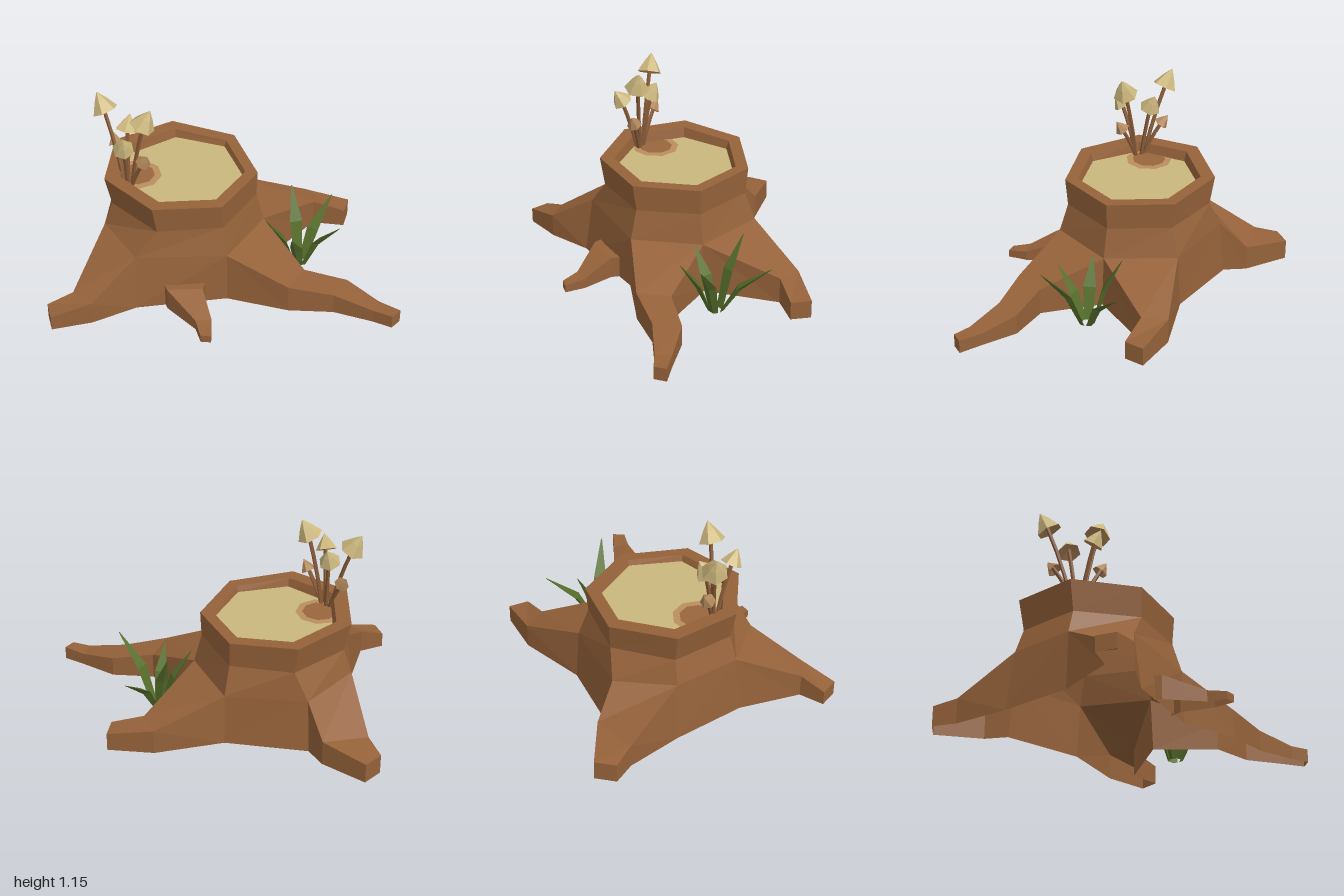
import * as THREE from 'three';

const mat = (name, color) => {
  const m = new THREE.MeshStandardMaterial({ color, flatShading: true, side: THREE.DoubleSide });
  m.name = name;
  return m;
};
const V = (x, y, z) => new THREE.Vector3(x, y, z);

// Skin a list of equal-length cross-sections; optionally close each loop and cap the end
function loft(sections, { closed = false, cap = false } = {}) {
  const pos = [];
  const tri = (...pts) => pts.forEach((p) => pos.push(p.x, p.y, p.z));
  const quad = (a, b, c, d) => { tri(a, b, c); tri(a, c, d); };
  for (let k = 0; k < sections.length - 1; k++) {
    const s = sections[k], t = sections[k + 1], n = s.length;
    for (let j = 0; j < (closed ? n : n - 1); j++) {
      const i = (j + 1) % n;
      quad(s[j], s[i], t[i], t[j]);
    }
  }
  if (cap) quad(...sections[sections.length - 1]);
  const g = new THREE.BufferGeometry();
  g.setAttribute('position', new THREE.Float32BufferAttribute(pos, 3));
  g.computeVertexNormals();
  return g;
}

export function createModel() {
  const model = new THREE.Group();
  const bark = mat('bark brown', 0x95623a);
  const wood = mat('cut wood', 0xc9b77c);
  const stainLight = mat('light stain', 0xb98f5e);
  const stainDark = mat('dark stain', 0x98663d);
  const stemMat = mat('stem brown', 0x8a5c38);
  const capMat = mat('pale cap', 0xcdb87e);
  const capTan = mat('tan cap', 0xb58a5c);
  const leaf = mat('leaf green', 0x566e2b);
  const add = (name, geo, m, parent = model) => {
    const mesh = new THREE.Mesh(geo, m);
    mesh.name = name;
    parent.add(mesh);
    return mesh;
  };

  // Seven-sided trunk with a raised, slightly tilted rim
  const ring = (cx, r, height) => Array.from({ length: 7 }, (_, i) => {
    const a = (i / 7) * Math.PI * 2, x = cx + r * Math.cos(a);
    return V(x, height(x), r * Math.sin(a));
  });
  const rimY = (x) => 0.647 - 0.046 * x;
  const floorY = 0.615;
  const flare = [
    V(0.18, 0.31, 0), V(0, 0.32, 0.38), V(-0.51, 0.34, 0.47), V(-0.73, 0.36, 0.2),
    V(-0.73, 0.36, -0.2), V(-0.47, 0.33, -0.46), V(0, 0.32, -0.39),
  ];
  const foot = [
    V(0.2, 0.01, 0), V(0, 0.01, 0.39), V(-0.51, 0.01, 0.52), V(-0.76, 0.01, 0.22),
    V(-0.77, 0.01, -0.22), V(-0.48, 0.01, -0.49), V(0, 0.01, -0.41),
  ];
  const floor = ring(-0.3, 0.355, () => floorY);
  add('trunk', loft([floor, ring(-0.3, 0.37, rimY), ring(-0.31, 0.452, rimY),
    ring(-0.295, 0.43, (x) => 0.49 - 0.02 * x), flare], { closed: true }), bark);
  add('cutWood', new THREE.CircleGeometry(0.357, 7).rotateX(-Math.PI / 2).translate(-0.3, floorY, 0), wood);

  // Stains around the mushrooms
  [[0.14, stainLight, 0.002], [0.1, stainDark, 0.004]].forEach(([r, m, dy], i) =>
    add('stain' + i, new THREE.CircleGeometry(r, 9).rotateX(-Math.PI / 2).translate(-0.55, floorY + dy, 0.05), m));

  // Plain walls between the roots
  for (const i of [1, 3, 5]) {
    const j = i + 1;
    add('lowerWall', loft([[flare[i], flare[j]], [foot[i], foot[j]]]), bark);
  }

  // Roots: each section is [x, topY, z] for its two edges
  const section = ([x1, y1, z1, x2, y2, z2], y0 = 0.01) =>
    [V(x1, y0, z1), V(x1, y1, z1), V(x2, y2, z2), V(x2, y0, z2)];
  const root = (name, start, list) =>
    add(name, loft([start, ...list.map((s) => section(s))], { cap: true }), bark);
  const between = (a, b) => [foot[a], flare[a], flare[b], foot[b]];
  root('frontLeftRoot', between(0, 1), [
    [0.44, 0.17, 0.28, 0.36, 0.18, 0.46], [0.69, 0.13, 0.3, 0.62, 0.135, 0.45],
    [0.88, 0.085, 0.42, 0.85, 0.09, 0.51], [1, 0.09, 0.49, 0.955, 0.09, 0.55]]);
  root('frontRightRoot', between(2, 3), [
    [-0.74, 0.15, 0.67, -0.86, 0.15, 0.58], [-0.96, 0.1, 0.75, -1, 0.1, 0.64]]);
  root('backRightRoot', between(4, 5), [
    [-0.81, 0.16, -0.56, -0.55, 0.16, -0.61], [-0.87, 0.13, -0.69, -0.78, 0.13, -0.78]]);
  root('backLeftRoot', between(6, 0), [
    [0.4, 0.16, -0.51, 0.46, 0.17, -0.37], [0.67, 0.12, -0.48, 0.65, 0.12, -0.36]]);
  root('smallFrontRoot', section([-0.12, 0.14, 0.4, -0.35, 0.15, 0.47]), [
    [-0.13, 0.14, 0.47, -0.33, 0.15, 0.51],
    [-0.06, 0.07, 0.65, -0.15, 0.075, 0.67], [-0.05, 0.055, 0.77, -0.11, 0.055, 0.77]]);

  // Mushrooms: cap rim centre, apex, radius and colour
  const mushrooms = [
    [[-0.72, 1.035, 0.03], [-0.77, 1.14, 0.0], 0.075, capMat],
    [[-0.49, 1.045, 0.18], [-0.44, 1.15, 0.18], 0.075, capMat],
    [[-0.59, 0.925, 0.24], [-0.58, 1.005, 0.29], 0.062, capMat],
    [[-0.6, 0.935, 0.07], [-0.58, 1.025, 0.03], 0.065, capMat],
    [[-0.49, 0.81, 0.2], [-0.46, 0.87, 0.225], 0.045, capTan],
    [[-0.67, 0.81, 0.03], [-0.69, 0.865, -0.01], 0.045, capTan],
  ];
  mushrooms.forEach(([c, t, r, m], i) => {
    const g = new THREE.Group();
    g.name = 'mushroom' + i;
    const centre = V(...c), apex = V(...t), axis = apex.clone().sub(centre);
    const h = axis.length();
    axis.normalize();
    const base = V(-0.59, floorY - 0.005, 0.135).lerp(V(c[0], floorY - 0.005, c[2]), 0.22);
    const bend = base.clone().lerp(centre, 0.5).add(V((base.x - c[0]) * 0.15, 0, (base.z - c[2]) * 0.15));
    const end = centre.clone().addScaledVector(axis, h * 0.3);
    add('stem', new THREE.TubeGeometry(new THREE.QuadraticBezierCurve3(base, bend, end), 3, 0.012, 5), stemMat, g);
    const cap = new THREE.Group();
    cap.name = 'cap';
    cap.position.copy(centre);
    cap.quaternion.setFromUnitVectors(V(0, 1, 0), axis);
    const lathe = (pts) => new THREE.LatheGeometry(pts.map((p) => new THREE.Vector2(...p)), 6, i * 0.7);
    add('capTop', lathe([[r, 0], [r * 0.5, h * 0.55], [0, h]]), m, cap);
    add('capUnderside', lathe([[0, h * 0.3], [r, 0]]), capTan, cap);
    g.add(cap);
    model.add(g);
  });

  // Grass tuft of folded blades, widest halfway up
  const tuft = new THREE.Group();
  tuft.name = 'grassTuft';
  const tips = [[0.63, 0.4, 0.17], [0.33, 0.425, -0.19], [0.57, 0.31, -0.27], [0.2, 0.335, 0.06], [0.36, 0.31, 0.2]];
  for (const [x, y, z] of tips) {
    const out = V(x - 0.4, 0, z);
    const reach = out.length();
    out.normalize();
    const side = V(-out.z, 0, out.x);
    const cut = (d, h, w) => {
      const p = V(0.4, h, 0).addScaledVector(out, d);
      const keel = p.clone().addScaledVector(out, w * 0.6).add(V(0, -w * 0.4, 0));
      if (h === 0) keel.y = 0;
      return [p.clone().addScaledVector(side, w), keel, p.clone().addScaledVector(side, -w)];
    };
    add('blade', loft([cut(0.03, 0, 0.025), cut(0.03 + reach * 0.3, y * 0.55, 0.038), cut(reach, y, 0.003)], { closed: true }), leaf, tuft);
  }
  model.add(tuft);

  return model;
}
